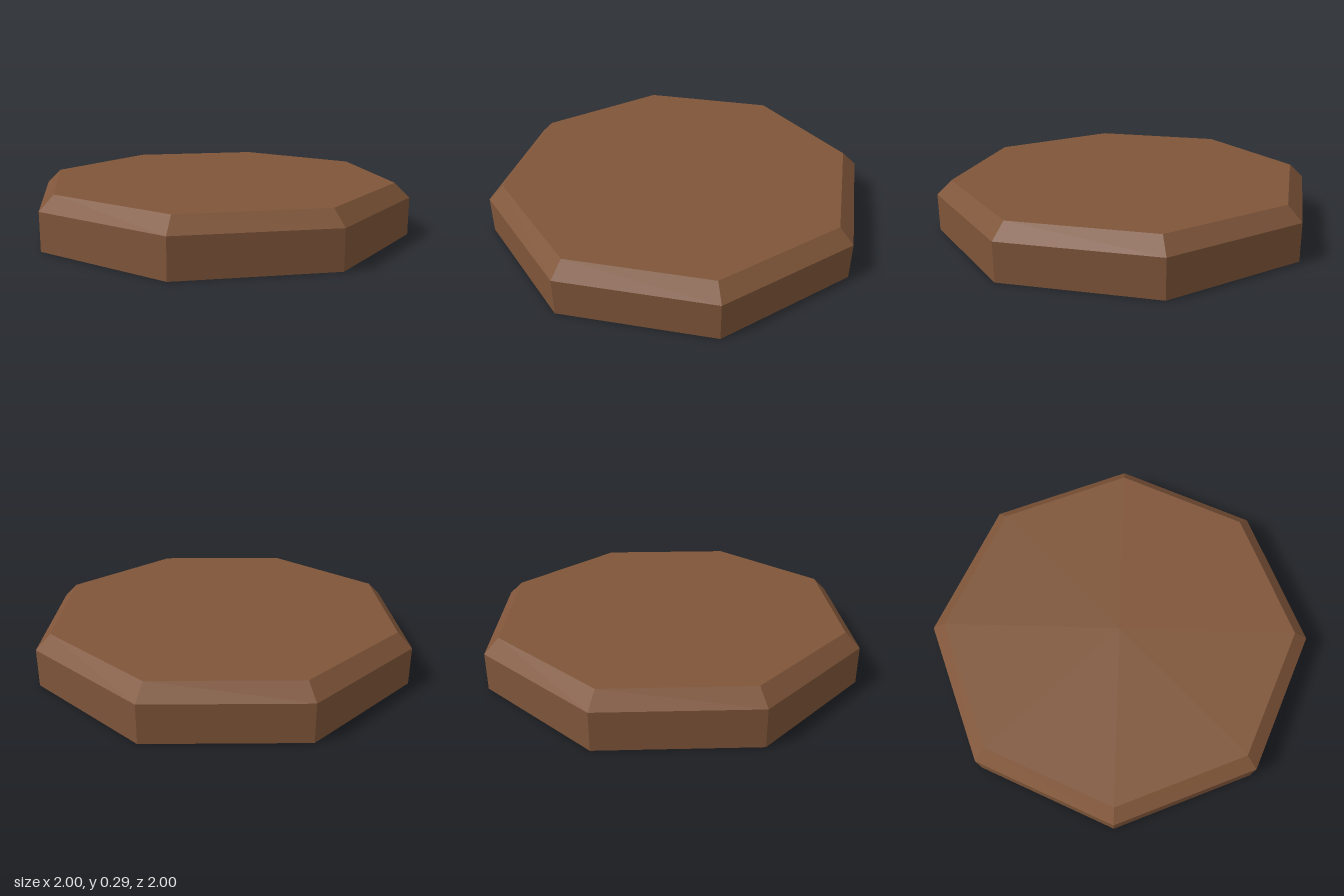
import * as THREE from 'three';

export function createModel() {
  const group = new THREE.Group();
  group.name = 'octagonalSlab';

  const brown = new THREE.MeshStandardMaterial({ color: 0x7f5539, flatShading: true });
  brown.name = 'brown';

  // Octagon with flat sides facing the axes: apothem to corner radius
  const SIDES = 8, TURN = Math.PI / SIDES;
  const corner = (apothem) => apothem / Math.cos(TURN);
  const outer = corner(1), inner = corner(0.923);
  const shoulder = 0.21, height = 0.29;

  const add = (name, geometry) => {
    const flat = geometry.toNonIndexed();
    flat.computeVertexNormals();
    const mesh = new THREE.Mesh(flat, brown);
    mesh.name = name;
    group.add(mesh);
  };

  // Upright sides, then the sloping bevel above them
  const band = (y0, r0, y1, r1) => new THREE.LatheGeometry(
    [new THREE.Vector2(r0, y0), new THREE.Vector2(r1, y1)], SIDES, TURN);
  add('sides', band(0, outer, shoulder, outer));
  add('bevel', band(shoulder, outer, height, inner));

  // Flat top and underside
  const cap = (radius) => new THREE.CircleGeometry(radius, SIDES, TURN);
  add('top', cap(inner).rotateX(-Math.PI / 2).translate(0, height, 0));
  add('underside', cap(outer).rotateX(Math.PI / 2));

  return group;
}
